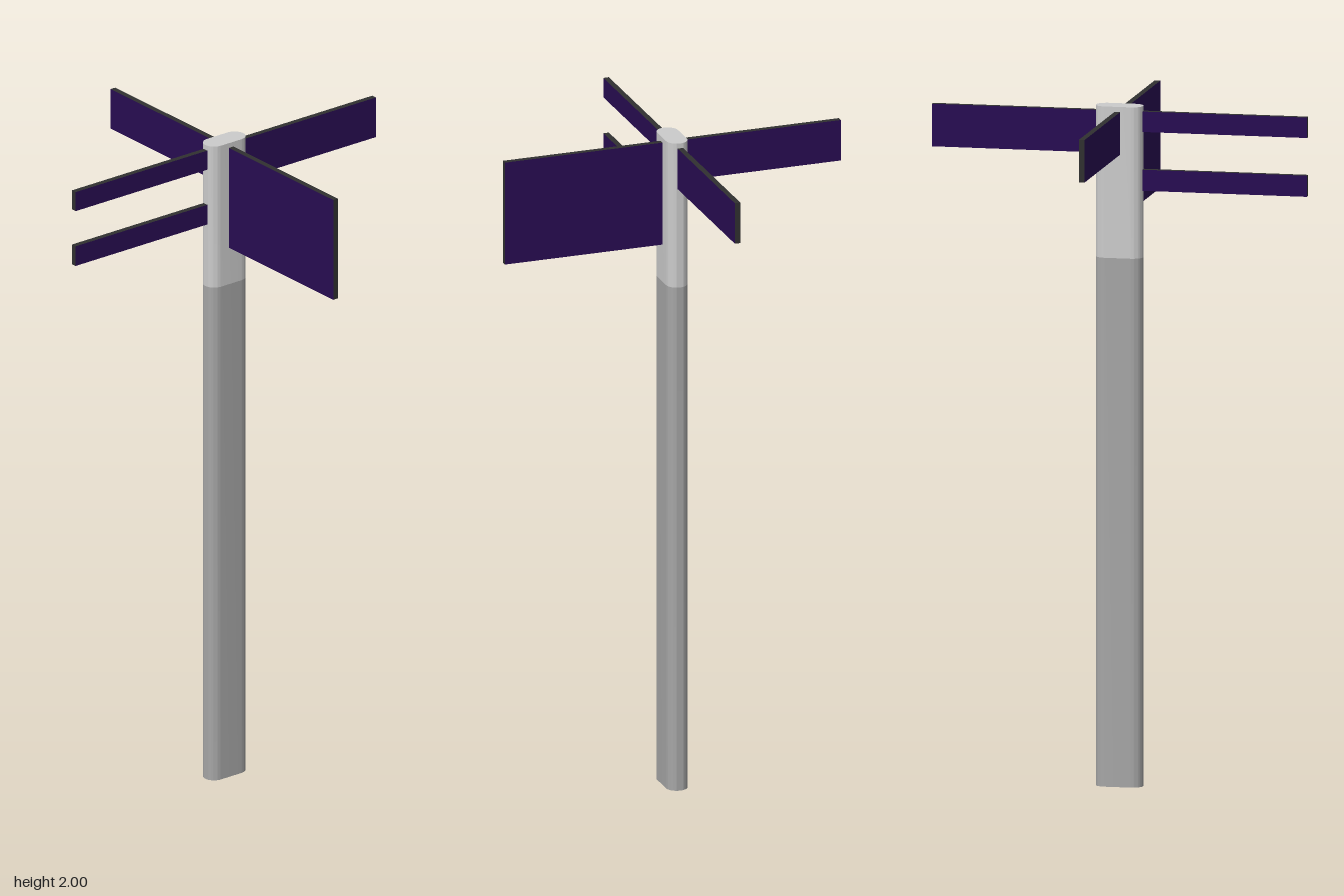
import * as THREE from 'three';
import { toCreasedNormals } from 'three/addons/utils/BufferGeometryUtils.js';

const paint = (color) => new THREE.MeshStandardMaterial({ color });

// Upright post section with a stadium-shaped footprint
function postSection(name, y0, y1, material) {
  const r = 0.032, flat = 0.038;
  const shape = new THREE.Shape();
  shape.moveTo(-flat, -r);
  shape.lineTo(flat, -r);
  shape.absarc(flat, 0, r, -Math.PI / 2, Math.PI / 2, false);
  shape.lineTo(-flat, r);
  shape.absarc(-flat, 0, r, Math.PI / 2, Math.PI * 1.5, false);
  const geometry = new THREE.ExtrudeGeometry(shape, {
    depth: y1 - y0, bevelEnabled: false, curveSegments: 16,
  });
  geometry.rotateX(-Math.PI / 2);
  const mesh = new THREE.Mesh(toCreasedNormals(geometry, 0.6), material);
  mesh.name = name;
  mesh.position.y = y0;
  return mesh;
}

export function createModel() {
  const model = new THREE.Group();
  model.name = 'signpost';

  // Post: darker shaft below, lighter head above
  model.add(postSection('postShaft', 0, 1.555, paint(0xa6a6a6)));
  model.add(postSection('postHead', 1.555, 2, paint(0xcccccc)));

  // Sign boards: coloured faces, dark rims
  const face = paint(0x280c52);
  const rim = paint(0x303030);
  const boards = [
    // name, turn about y, inner end, outer end, bottom, top
    ['leftBoard', 0, 0.065, 0.555, 1.86, 1.985],
    ['backBoard', Math.PI / 2, 0.03, 0.518, 1.86, 1.985],
    ['upperRightBoard', Math.PI, 0.065, 0.557, 1.925, 1.985],
    ['lowerRightBoard', Math.PI, 0.065, 0.557, 1.752, 1.814],
    ['frontBoard', -Math.PI / 2, 0.03, 0.518, 1.67, 1.985],
  ];
  for (const [name, turn, inner, outer, bottom, top] of boards) {
    const geometry = new THREE.BoxGeometry(outer - inner, top - bottom, 0.017);
    geometry.translate((inner + outer) / 2, (bottom + top) / 2, 0);
    const board = new THREE.Mesh(geometry, [rim, rim, rim, rim, face, face]);
    board.name = name;
    board.rotation.y = turn;
    model.add(board);
  }
  return model;
}
